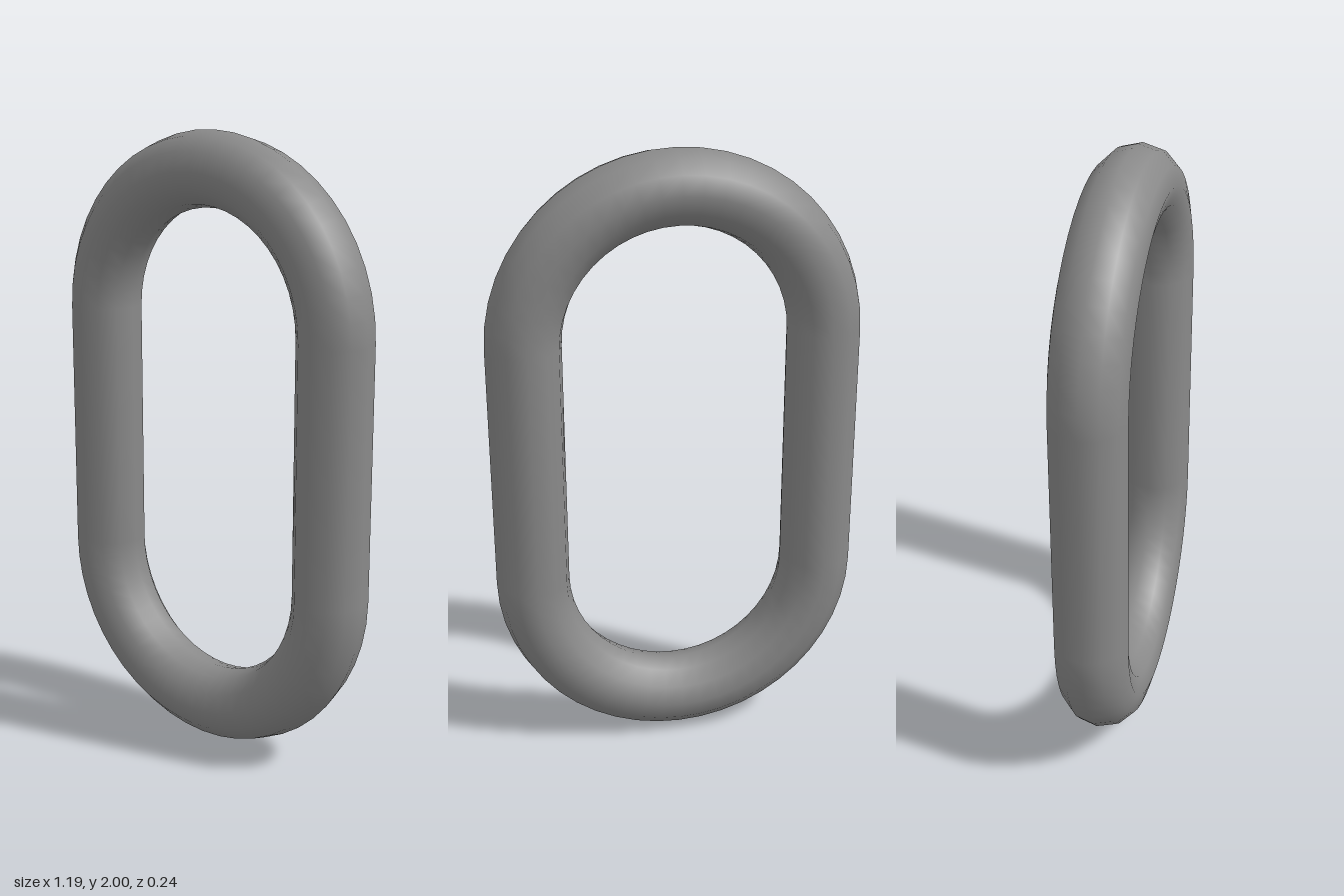
import * as THREE from 'three';

export function createModel() {
  const group = new THREE.Group();
  group.name = 'chainLink';
  const material = new THREE.MeshStandardMaterial({ color: 0x8a8a8a });

  const tube = 0.119;            // radius of the bar
  const bend = 0.476;            // radius of the bend's centre line
  const sides = 12;
  const low = bend + tube;       // height where the lower bend meets the bars
  const high = 2 - low;

  // Half-ring bends at the top and bottom
  const bendGeometry = new THREE.TorusGeometry(bend, tube, sides, 24, Math.PI);
  // Straight bars joining them, open where they meet the bends
  const barGeometry = new THREE.CylinderGeometry(tube, tube, high - low, sides, 1, true);

  const add = (name, geometry, x, y, turn = 0) => {
    const mesh = new THREE.Mesh(geometry, material);
    mesh.name = name;
    mesh.position.set(x, y, 0);
    mesh.rotation.z = turn;
    group.add(mesh);
  };

  add('topBend', bendGeometry, 0, high);
  add('bottomBend', bendGeometry, 0, low, Math.PI);
  add('leftBar', barGeometry, bend, 1);
  add('rightBar', barGeometry, -bend, 1);

  return group;
}
